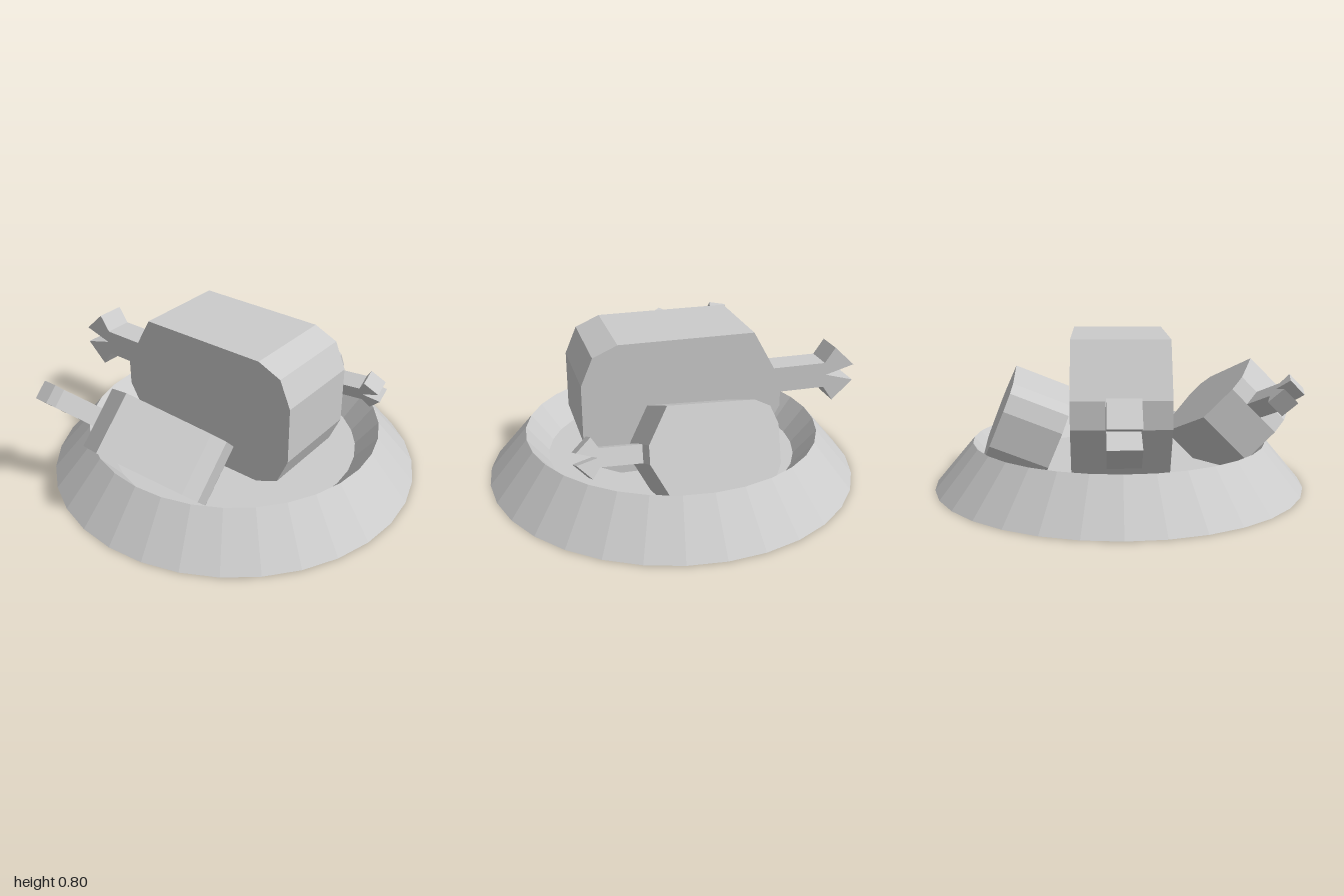
import * as THREE from 'three';

const material = new THREE.MeshStandardMaterial({ color: 0xcccccc, flatShading: true });

function addMesh(parent, name, geometry) {
  const mesh = new THREE.Mesh(geometry, material);
  mesh.name = name;
  parent.add(mesh);
}

// Extrude a [z, y] outline along x, centred on x = 0
function slab(outline, width) {
  const shape = new THREE.Shape(outline.map(([z, y]) => new THREE.Vector2(z, y)));
  return new THREE.ExtrudeGeometry(shape, { depth: width, bevelEnabled: false })
    .translate(0, 0, -width / 2)
    .rotateY(-Math.PI / 2);
}

// Joint of meat: chamfered block with a forked bone towards -z
function createJoint(name) {
  const joint = new THREE.Group();
  joint.name = name;
  const upper = [[0.535, 0.15], [0.475, 0.29], [0.35, 0.345], [-0.345, 0.345], [-0.5, 0.07]];
  const lower = upper.map(([z, y]) => [z, -y]).reverse();
  addMesh(joint, 'meat', slab([...upper, ...lower], 0.49));

  const boneTop = [[-0.48, 0.07], [-0.828, 0.07], [-0.885, 0.153], [-1, 0.045]];
  const boneBottom = boneTop.map(([z, y]) => [z, -y]).reverse();
  addMesh(joint, 'bone', slab([...boneTop, [-0.84, 0], ...boneBottom], 0.152));
  return joint;
}

// Place a joint by its centre, sideways axis and blunt-end axis
function placeJoint(joint, centre, side, front, scale) {
  const z = new THREE.Vector3(...front).normalize();
  const y = z.clone().cross(new THREE.Vector3(...side)).normalize();
  const x = y.clone().cross(z);
  joint.quaternion.setFromRotationMatrix(new THREE.Matrix4().makeBasis(x, y, z));
  joint.position.set(...centre);
  joint.scale.setScalar(scale);
  return joint;
}

export function createModel() {
  const model = new THREE.Group();
  model.name = 'meatPlatter';

  // Platter with sloped rim and sunken floor
  const profile = [[0, 0], [0.977, 0], [0.775, 0.24], [0.66, 0.1], [0, 0.1]];
  const platter = new THREE.LatheGeometry(profile.map(([r, y]) => new THREE.Vector2(r, y)), 32);
  addMesh(model, 'platter', platter.translate(0, 0, 0.02));

  // One large joint and two smaller ones leaning on the rim
  model.add(
    placeJoint(createJoint('largeJoint'), [0, 0.455, 0], [1, 0, 0], [0, 0, 1], 1),
    placeJoint(createJoint('rightJoint'), [-0.579, 0.354, -0.01], [0.707, 0.707, 0], [0.352, -0.352, 0.868], 0.632),
    placeJoint(createJoint('leftJoint'), [0.488, 0.326, -0.005], [-0.92, -0.38, 0.087], [-0.06, -0.07, -1], 0.632),
  );
  return model;
}
